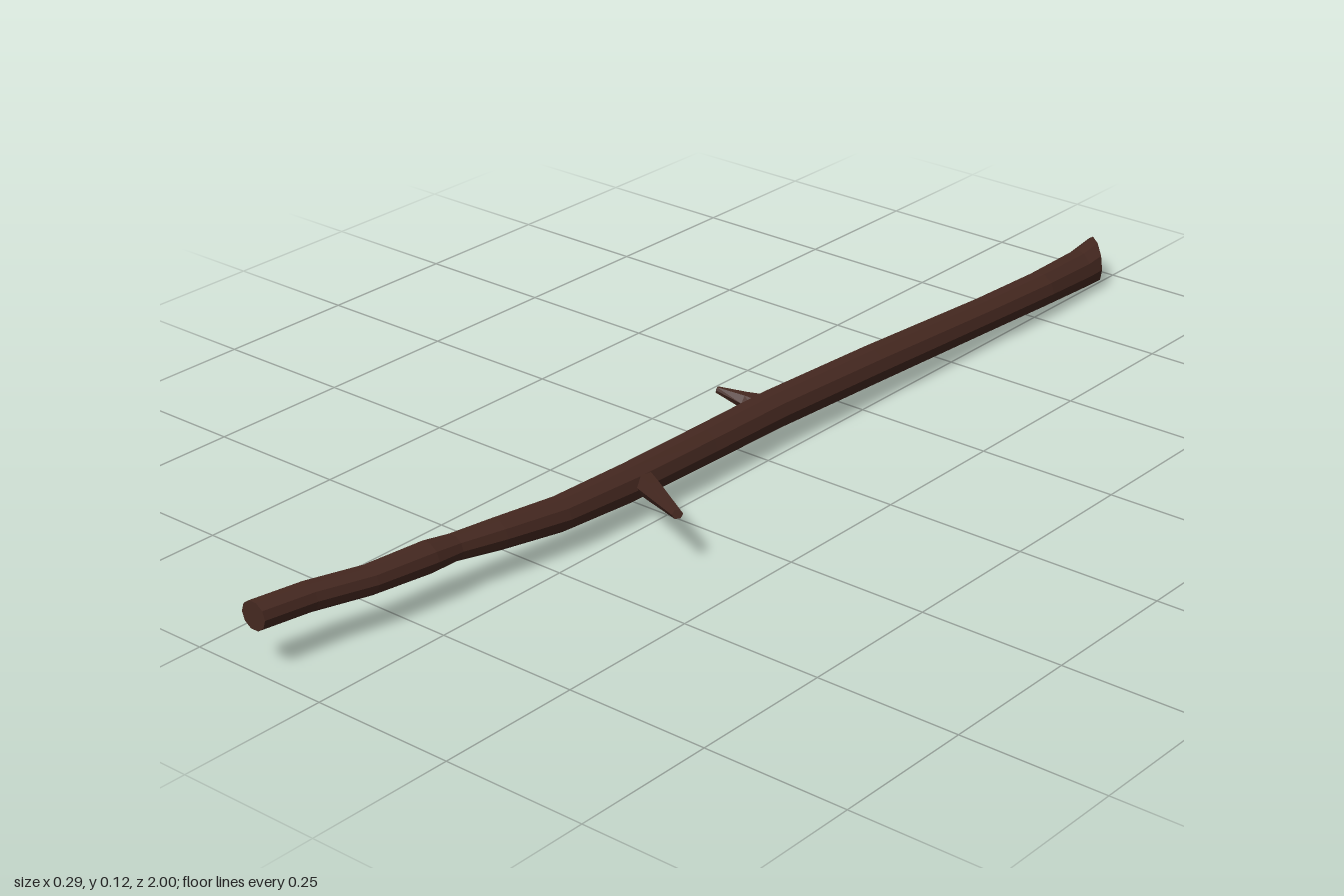
import * as THREE from 'three';

const bark = new THREE.MeshStandardMaterial({ color: 0x452820, flatShading: true, roughness: 1 });

// Closed tube through rings; each ring gives its centre and two radius vectors.
function loft(name, rings, sides) {
  const pos = [], index = [], n = rings.length;
  for (const { c, u, v } of rings) {
    for (let i = 0; i < sides; i++) {
      const a = (i / sides) * Math.PI * 2;
      const p = c.clone().addScaledVector(u, Math.cos(a)).addScaledVector(v, Math.sin(a));
      pos.push(p.x, p.y, p.z);
    }
  }
  pos.push(...rings[0].c.toArray(), ...rings[n - 1].c.toArray());
  const first = n * sides, last = first + 1;
  for (let i = 0; i < sides; i++) {
    const j = (i + 1) % sides;
    for (let k = 0; k < n - 1; k++) {
      const a = k * sides + i, b = k * sides + j;
      index.push(a, b, b + sides, a, b + sides, a + sides);
    }
    index.push(first, j, i, last, (n - 1) * sides + i, (n - 1) * sides + j);
  }
  const geo = new THREE.BufferGeometry();
  geo.setAttribute('position', new THREE.Float32BufferAttribute(pos, 3));
  geo.setIndex(index);
  geo.computeVertexNormals();
  const mesh = new THREE.Mesh(geo, bark);
  mesh.name = name;
  return mesh;
}

const V = (x, y, z) => new THREE.Vector3(x, y, z);

// Tapered twig: rings stand square to the line from base to tip.
function twig(name, points, radii, sides) {
  const dir = points[points.length - 1].clone().sub(points[0]).normalize();
  const u = V(0, 1, 0).cross(dir).normalize();
  const v = dir.clone().cross(u);
  return loft(name, points.map((c, i) => ({
    c, u: u.clone().multiplyScalar(radii[i][0]), v: v.clone().multiplyScalar(radii[i][1]),
  })), sides);
}

export function createModel() {
  const group = new THREE.Group();
  group.name = 'stick';

  // Main stem from the thick back end to the thin front end: x, y, z, radius, slant of the ring
  const stem = [
    [-0.019, 0.038, -0.965, 0.040, 0.85],
    [-0.014, 0.038, -0.91, 0.036, 0.4],
    [-0.006, 0.046, -0.77, 0.033, 0],
    [-0.011, 0.050, -0.60, 0.032, 0],
    [-0.025, 0.057, -0.30, 0.034, 0],
    [-0.036, 0.061, -0.05, 0.034, 0],
    [-0.038, 0.061, 0.12, 0.033, 0],
    [-0.040, 0.062, 0.30, 0.032, 0],
    [-0.047, 0.065, 0.45, 0.029, 0],
    [-0.062, 0.074, 0.57, 0.026, 0],
    [-0.074, 0.080, 0.65, 0.022, 0],
    [-0.078, 0.083, 0.70, 0.026, 0],
    [-0.090, 0.086, 0.81, 0.024, 0],
    [-0.112, 0.093, 0.91, 0.024, 0],
    [-0.126, 0.095, 1.00, 0.024, 0],
  ];
  group.add(loft('stem', stem.map(([x, y, z, r, s]) => ({
    c: V(x, y, z), u: V(r, 0, r * s), v: V(0, r, 0),
  })), 10));

  // Long side twig on the left
  group.add(twig('sideTwig',
    [V(-0.035, 0.058, 0.27), V(0.03, 0.074, 0.313), V(0.137, 0.098, 0.383)],
    [[0.021, 0.021], [0.017, 0.017], [0.009, 0.008]], 6));

  // Short broken stub on the right
  group.add(twig('brokenStub',
    [V(-0.045, 0.065, -0.045), V(-0.078, 0.073, -0.034), V(-0.123, 0.085, -0.017)],
    [[0.03, 0.02], [0.015, 0.014], [0.004, 0.006]], 6));

  return group;
}
